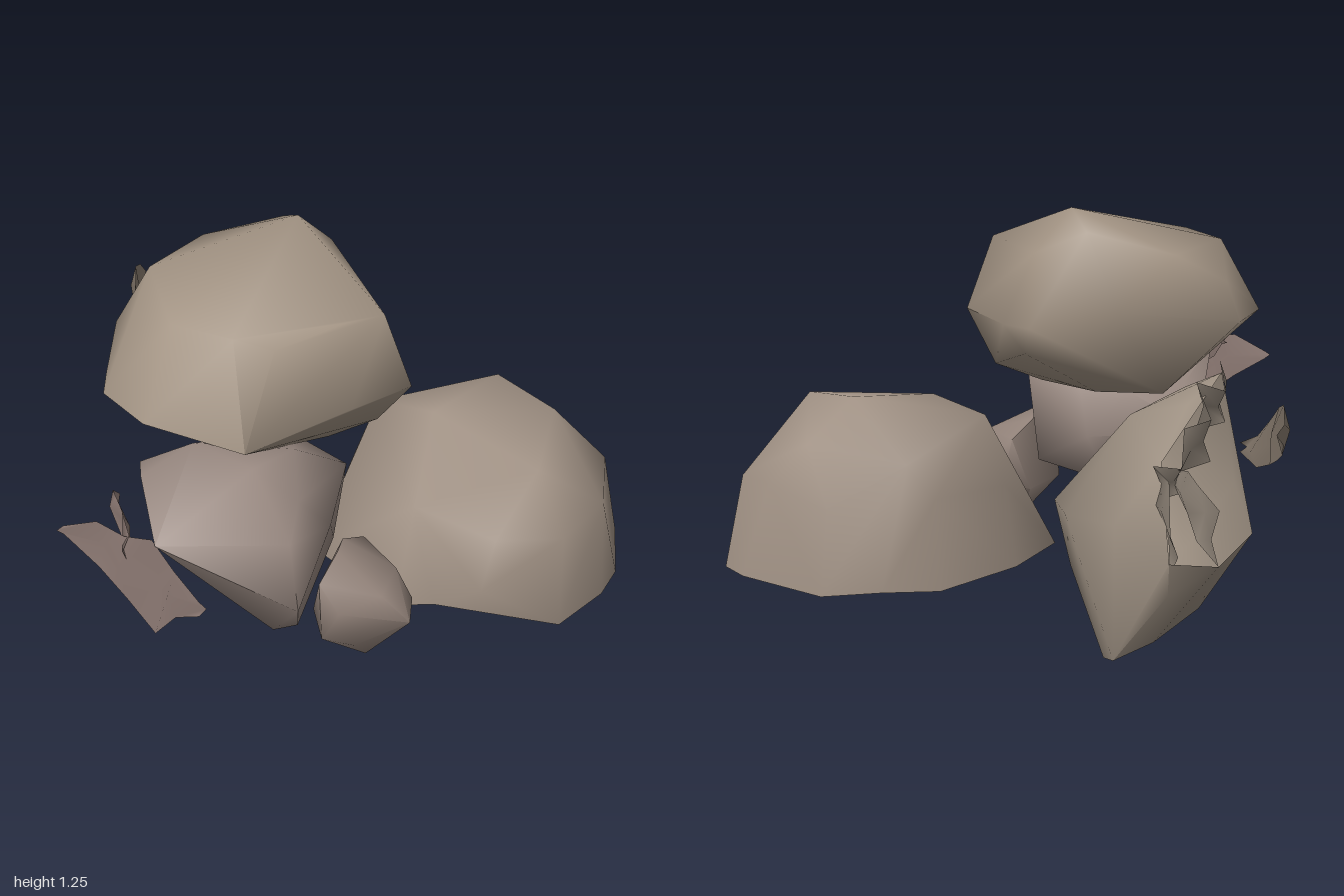
import * as THREE from 'three';
import { ConvexGeometry } from 'three/addons/geometries/ConvexGeometry.js';
import { mergeVertices, toCreasedNormals } from 'three/addons/utils/BufferGeometryUtils.js';

const stone = (color, side) => new THREE.MeshStandardMaterial({ color, side });

// Drops the hull triangles that face a direction, leaving a hollow shell.
function cutOpen(geo, direction, limit) {
  const p = geo.attributes.position, kept = [], normal = new THREE.Vector3();
  const dir = new THREE.Vector3(...direction).normalize();
  for (let i = 0; i < p.count; i += 3) {
    const [a, b, c] = [0, 1, 2].map((k) => new THREE.Vector3().fromBufferAttribute(p, i + k));
    THREE.Triangle.getNormal(a, b, c, normal);
    if (normal.dot(dir) < limit) kept.push(a, b, c);
  }
  return new THREE.BufferGeometry().setFromPoints(kept);
}

// A boulder is the hull of its corner points, smooth except at sharp ridges.
function boulder(name, color, corners, open) {
  let hull = new ConvexGeometry(corners.map((p) => new THREE.Vector3(...p)));
  hull.deleteAttribute('normal');
  if (open) hull = cutOpen(hull, open.direction, open.limit);
  const mesh = new THREE.Mesh(
    toCreasedNormals(mergeVertices(hull, 1e-4), 1.35),
    stone(color, open ? THREE.DoubleSide : THREE.FrontSide),
  );
  mesh.name = name;
  return mesh;
}

// A shard is a thin ragged sheet; each station is [x, z, low y, high y].
function shard(name, color, stations) {
  const pos = [], index = [];
  stations.forEach(([x, z, low, high], i) => {
    const bend = i % 2 ? 0.015 : -0.015;
    pos.push(x, low, z, x + bend, (low + high) / 2, z + bend, x, high, z);
    if (!i) return;
    for (let k = 0; k < 2; k++) {
      const a = (i - 1) * 3 + k, b = i * 3 + k;
      index.push(a, b, b + 1, a, b + 1, a + 1);
    }
  });
  const geo = new THREE.BufferGeometry();
  geo.setAttribute('position', new THREE.Float32BufferAttribute(pos, 3));
  geo.setIndex(index);
  geo.computeVertexNormals();
  const mesh = new THREE.Mesh(geo, stone(color, THREE.DoubleSide));
  mesh.name = name;
  return mesh;
}

export function createModel() {
  const group = new THREE.Group();
  group.name = 'rockPile';

  // Large slab resting on top: crown, girdle, underside
  group.add(boulder('topBoulder', 0xa39484, [
    [0.2, 1.245, -0.08], [-0.42, 1.09, 0.14], [-0.36, 1.06, 0.25], [-0.45, 1.09, -0.08],
    [-0.1, 1.08, 0.33], [0.02, 1.08, 0.39], [0.13, 1.16, 0.12],
    [0.28, 1.19, -0.2], [0.12, 1.12, -0.42], [0, 1.03, -0.53], [0.35, 1.12, -0.05], [-0.2, 1.12, -0.38],
    [0, 0.91, -0.58], [0.27, 0.95, -0.31], [0.43, 0.9, -0.09], [0.36, 0.88, 0.07],
    [0.08, 0.83, 0.46], [-0.15, 0.82, 0.39], [-0.52, 0.78, 0.26], [-0.57, 0.79, -0.1],
    [-0.56, 0.84, -0.27], [-0.48, 0.86, -0.33], [-0.23, 0.9, -0.51],
    [0, 0.6, 0.2], [0.1, 0.63, -0.1], [-0.1, 0.62, 0.1], [0.05, 0.65, -0.33],
    [0.4, 0.81, -0.05], [-0.32, 0.7, -0.2], [0.1, 0.66, 0.32], [-0.45, 0.75, 0.15],
  ]));

  // Hollow boulder at the front left, open below and notched at its outer front corner
  group.add(boulder('frontBoulder', 0xa09184, [
    [0.65, 0.645, 0.45], [0.35, 0.6, 0.38], [0.33, 0.53, 0.8], [0.6, 0.61, 0.7],
    [0.36, 0.57, 0.15], [0.68, 0.47, 0.2], [0.8, 0.51, 0.52], [0.06, 0.41, 0.5], [0.08, 0.38, 0.8],
    [0.87, 0.38, 0.62], [0.82, 0.36, 0.8], [0.5, 0.38, 0.96], [0.27, 0.35, 0.94],
    [0.63, 0.36, 0.13], [0.37, 0.35, 0.06], [0.84, 0.33, 0.4],
    [0.37, 0.08, 0.02], [0.64, 0.06, 0.11], [0.76, 0.06, 0.25], [0.88, 0.05, 0.4], [0.905, 0.05, 0.73],
    [0.88, 0.05, 0.84], [0.63, 0.05, 0.97], [0.48, 0.05, 0.995], [0.23, 0.05, 0.97],
    [0.02, 0.22, 0.79], [-0.02, 0.13, 0.64], [0, 0.05, 0.48], [0.1, 0.07, 0.07],
  ], { direction: [0, -1, 0], limit: 0.45 }));

  // Wedge boulder on the right, carrying the slab
  group.add(boulder('rightBoulder', 0x9a8a82, [
    [-0.87, 0.61, 0.2], [-0.64, 0.4, 0.55], [-0.64, 0.62, 0.52], [-0.52, 0.69, 0.46],
    [-0.57, 0.79, 0.1], [-0.53, 0.75, 0.3], [-0.7, 0.7, 0], [-0.3, 0.71, 0.28],
    [-0.07, 0.61, 0.1], [-0.1, 0.59, 0.34], [-0.03, 0.42, 0.03], [-0.28, 0.43, -0.25],
    [-0.46, 0.14, 0.32], [-0.52, 0.25, 0.46], [-0.38, 0.55, 0.48], [-0.22, 0.2, 0.08],
    [-0.08, 0.28, 0.28], [-0.35, 0.57, -0.15], [-0.77, 0.52, 0.2], [-0.58, 0.66, -0.11],
    [-0.28, 0.32, -0.12], [-0.15, 0.57, -0.05],
  ]));

  // Small stone in front of the wedge
  group.add(boulder('smallStone', 0x94847b, [
    [-0.41, 0.34, 0.46], [-0.3, 0.4, 0.45], [-0.2, 0.38, 0.4], [-0.08, 0.33, 0.4], [-0.07, 0.24, 0.5],
    [-0.08, 0.16, 0.45], [-0.2, 0.015, 0.45], [-0.26, 0.03, 0.54], [-0.34, 0.11, 0.55], [-0.42, 0.15, 0.48],
    [-0.4, 0.25, 0.53], [-0.3, 0.3, 0.62], [-0.24, 0.2, 0.69], [-0.12, 0.2, 0.62],
    [-0.16, 0.32, 0.58], [-0.3, 0.15, 0.36], [-0.13, 0.14, 0.36],
  ]));

  // Tilted boulder at the back left, broken open at its upper rear
  group.add(boulder('backBoulder', 0x9d9082, [
    [0.13, 0.5, -0.3], [0.14, 0.55, -0.42], [0.25, 0.38, -0.27], [0.52, 0.41, -0.255],
    [0.2, 0.68, -0.46], [0.35, 0.58, -0.35], [0.3, 0.76, -0.6],
    [0.42, 0.87, -0.78], [0.36, 0.79, -0.62], [0.55, 0.8, -0.75], [0.72, 0.68, -0.78], [0.5, 0.72, -0.52],
    [0.63, 0.42, -0.38], [0.5, 0.2, -0.3], [0.5, 0.08, -0.38], [0.63, 0, -0.52],
    [0.72, 0.05, -0.62], [0.75, 0.16, -0.78], [0.8, 0.5, -0.68], [0.87, 0.46, -0.91],
    [0.83, 0.35, -0.88], [0.72, 0.42, -0.97], [0.58, 0.48, -0.99], [0.42, 0.55, -0.83],
    [0.4, 0.3, -0.65], [0.27, 0.35, -0.42], [0.55, 0.2, -0.8],
  ], { direction: [0.26, 0.54, -0.8], limit: 0.9 }));

  // Ragged flakes: broken rim of the back boulder and loose splinters
  group.add(shard('backRimFlake', 0x8f8478, [
    [0.4, -0.76, 0.78, 0.9], [0.46, -0.82, 0.74, 0.83], [0.52, -0.76, 0.72, 0.86],
    [0.58, -0.85, 0.66, 0.78], [0.64, -0.8, 0.64, 0.76], [0.71, -0.84, 0.6, 0.67],
    [0.76, -0.78, 0.58, 0.68], [0.8, -0.86, 0.5, 0.66], [0.85, -0.9, 0.42, 0.52],
  ]));
  group.add(shard('backChip', 0x8f8478, [
    [0.7, -0.8, 0.63, 0.66], [0.74, -0.88, 0.56, 0.68], [0.77, -0.93, 0.5, 0.66], [0.72, -0.97, 0.42, 0.58],
  ]));
  group.add(shard('backSplinter', 0x8a7d70, [
    [0.13, -0.67, 0.54, 0.57], [0.18, -0.76, 0.52, 0.62], [0.24, -0.84, 0.56, 0.7],
    [0.3, -0.9, 0.6, 0.76], [0.36, -0.95, 0.64, 0.79], [0.44, -1, 0.7, 0.76],
  ]));
  group.add(shard('sideSplinter', 0x8d7a74, [
    [-0.9, -0.14, 0.54, 0.57], [-0.88, -0.02, 0.46, 0.62], [-0.87, 0.08, 0.38, 0.6],
    [-0.86, 0.18, 0.29, 0.62], [-0.88, 0.28, 0.4, 0.56], [-0.89, 0.38, 0.45, 0.5],
  ]));
  group.add(shard('sideChip', 0x8d7a74, [
    [-0.87, 0.1, 0.5, 0.61], [-0.82, 0.03, 0.54, 0.64], [-0.79, -0.02, 0.6, 0.66], [-0.75, -0.07, 0.62, 0.65],
  ]));
  return group;
}
